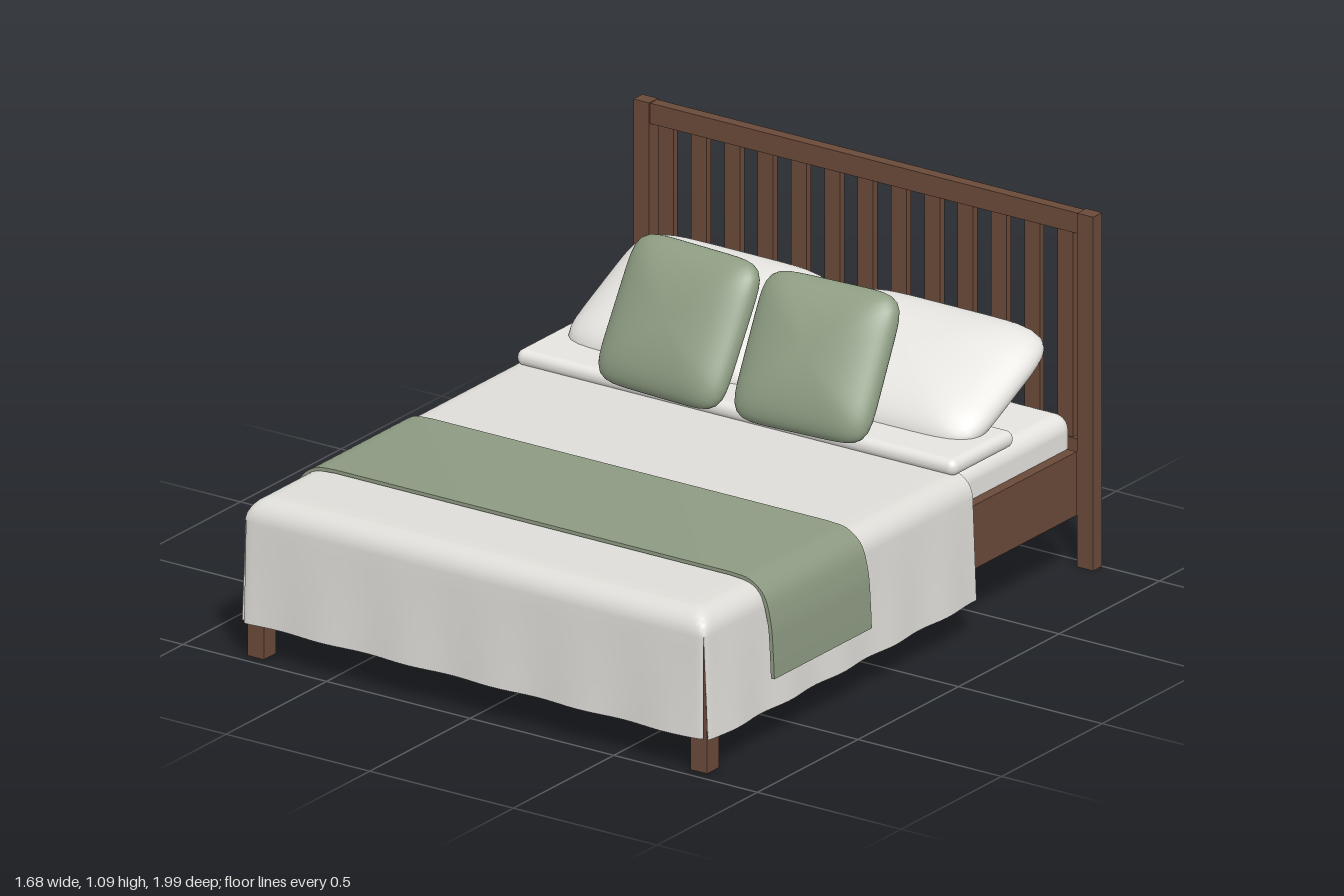
import * as THREE from 'three';
import { mergeVertices, toCreasedNormals } from 'three/addons/utils/BufferGeometryUtils.js';
import { RoundedBoxGeometry } from 'three/addons/geometries/RoundedBoxGeometry.js';

const material = (name, color, side = THREE.FrontSide) => {
  const m = new THREE.MeshStandardMaterial({ color, side });
  m.name = name;
  return m;
};

// Puffy cushion: rounded-square outline in x/y, lens thickness in z
function cushionGeometry(w, h, t, p) {
  const g = new THREE.SphereGeometry(1, 72, 28);
  g.rotateX(Math.PI / 2);
  g.deleteAttribute('uv');
  g.deleteAttribute('normal');
  const pos = g.attributes.position;
  for (let i = 0; i < pos.count; i++) {
    const x = pos.getX(i), y = pos.getY(i), z = pos.getZ(i);
    const r = Math.hypot(x, y);
    if (r < 1e-5) { pos.setXYZ(i, 0, 0, Math.sign(z) * t / 2); continue; }
    const c = x / r, s = y / r;
    const k = Math.pow(r, 0.85) / Math.pow(Math.abs(c) ** p + Math.abs(s) ** p, 1 / p);
    pos.setXYZ(i, c * k * w / 2, s * k * h / 2, z * t / 2);
  }
  const merged = mergeVertices(g, 1e-4);
  merged.computeVertexNormals();
  return merged;
}

// Bedspread draped over the sides and foot, split at the two foot corners
function bedspreadGeometry() {
  const top = 0.49, r = 0.07, halfX = 0.805, front = 0.985, back = -0.35;
  const arc = r * Math.PI / 2, hang = 0.31;
  const over = [];
  for (let i = 1; i <= 7; i++) over.push(arc * i / 7);
  for (let i = 1; i <= 7; i++) over.push(arc + hang * i / 7);
  const line = (a, b, n) => Array.from({ length: n + 1 }, (_, i) => a + (b - a) * i / n);
  const ax = halfX - r, az = front - r;
  const us = [...over.map(s => -ax - s).reverse(), ...line(-ax, ax, 40), ...over.map(s => ax + s)];
  const vs = [...line(back, az, 40), ...over.map(s => az + s)];
  // distance past the flat top -> outward offset, drop and hanging length
  const bend = s => {
    if (s <= 0) return [0, 0, 0];
    if (s <= arc) return [r * Math.sin(s / r), r * (1 - Math.cos(s / r)), 0];
    return [r, r + s - arc, (s - arc) / hang];
  };
  const pts = [], idx = [];
  for (const v of vs) for (const u of us) {
    const su = Math.abs(u) - ax, sv = v - az, sign = Math.sign(u);
    const [ou, du, hu] = bend(su), [ov, dv, hv] = bend(sv);
    const pull = 0.013 * (Math.min(du / r, 1) * Math.min(dv / r, 1)) ** 2;
    const x = Math.min(Math.abs(u), ax) + ou + hu * (0.017 + 0.005 * Math.sin(v * 24)) - pull;
    const z = Math.min(v, az) + ov + hv * (0.005 + 0.005 * Math.sin(u * 21)) - pull;
    const limit = hu || hv ? Infinity : r;
    const drop = hu || hv ? Math.max(du, dv) : Math.min(Math.hypot(du, dv), limit);
    pts.push(sign * x, top - drop, z);
  }
  const n = us.length;
  for (let j = 0; j < vs.length - 1; j++) for (let i = 0; i < n - 1; i++) {
    const su = Math.max(Math.abs(us[i]), Math.abs(us[i + 1])) - ax, sv = vs[j + 1] - az;
    if (su > arc + 1e-4 && sv > arc + 1e-4) continue;
    const a = j * n + i, b = a + 1, c = a + n, d = c + 1;
    idx.push(a, c, b, b, c, d);
  }
  const g = new THREE.BufferGeometry();
  g.setAttribute('position', new THREE.Float32BufferAttribute(pts, 3));
  g.setIndex(idx);
  g.computeVertexNormals();
  return g;
}

// Thin folded band lying across the bed and hanging on both sides
function runnerGeometry(z0, z1) {
  const smooth = list => new THREE.CatmullRomCurve3(list.map(([x, y]) => new THREE.Vector3(x, y, 0)), false, 'centripetal')
    .getPoints(30).map(p => new THREE.Vector2(p.x, p.y));
  const outer = smooth([[0.69, 0.506], [0.755, 0.498], [0.805, 0.46], [0.83, 0.38], [0.838, 0.29], [0.842, 0.21]]);
  const inner = smooth([[0.83, 0.21], [0.826, 0.29], [0.818, 0.378], [0.795, 0.452], [0.75, 0.487], [0.69, 0.495]]);
  const flip = list => list.map(p => new THREE.Vector2(-p.x, p.y)).reverse();
  const shape = new THREE.Shape([...outer, ...inner, ...flip(inner), ...flip(outer)]);
  const g = new THREE.ExtrudeGeometry(shape, { depth: z1 - z0, bevelEnabled: false });
  g.translate(0, 0, z0);
  return toCreasedNormals(g, 0.6);
}

export function createModel() {
  const bed = new THREE.Group();
  bed.name = 'bed';
  const wood = material('brown wood', 0x6a4a3a);
  const darkWood = material('dark base wood', 0x3f2d25);
  const linen = material('white linen', 0xe6e4e0);
  const spread = material('off-white bedspread', 0xdfddd8, THREE.DoubleSide);
  const sage = material('sage cushion', 0x8e9d83);
  const sageCloth = material('sage runner', 0x8d9a82);

  const add = (name, geometry, mat, x = 0, y = 0, z = 0) => {
    const mesh = new THREE.Mesh(geometry, mat);
    mesh.name = name;
    mesh.position.set(x, y, z);
    bed.add(mesh);
    return mesh;
  };
  // Box given by its min and max along each axis
  const box = (name, mat, x0, x1, y0, y1, z0, z1) =>
    add(name, new THREE.BoxGeometry(x1 - x0, y1 - y0, z1 - z0), mat, (x0 + x1) / 2, (y0 + y1) / 2, (z0 + z1) / 2);

  // Headboard rails and slats
  box('headboardTopRail', wood, -0.745, 0.745, 1.02, 1.083, -0.995, -0.96);
  box('headboardBottomRail', wood, -0.745, 0.745, 0.32, 0.39, -0.995, -0.96);
  for (let i = -6; i <= 6; i++) {
    const x = i * 0.116;
    box('headboardSlat', wood, x - 0.027, x + 0.027, 0.39, 1.02, -0.988, -0.966);
  }

  // Posts, legs, side rails and pillows, mirrored
  const pillow = cushionGeometry(0.7, 0.5, 0.19, 6);
  const cushion = cushionGeometry(0.455, 0.45, 0.15, 7);
  for (const s of [-1, 1]) {
    const side = s > 0 ? 'left' : 'right';
    const pair = (name, a, b, ...rest) => box(side + name, wood, Math.min(s * a, s * b), Math.max(s * a, s * b), ...rest);
    pair('HeadboardPost', 0.745, 0.8, 0, 1.085, -1, -0.955);
    pair('FrontLeg', 0.743, 0.8, 0, 0.4, 0.905, 0.965);
    pair('SideRail', 0.742, 0.775, 0.18, 0.375, -0.91, 0.91);

    const p = add(side + 'Pillow', pillow, linen, s * 0.368, 0.612, -0.672);
    p.rotation.x = -1.13;
    const c = add(side + 'Cushion', cushion, sage, s * 0.24, 0.715, -0.382);
    c.rotation.order = 'YXZ';
    c.rotation.set(-0.5, s * 0.06, 0);
  }
  box('footRail', wood, -0.745, 0.745, 0.18, 0.375, 0.918, 0.95);
  box('basePlatform', darkWood, -0.742, 0.742, 0.225, 0.26, -0.91, 0.918);

  // Bedding
  add('mattress', new RoundedBoxGeometry(1.48, 0.215, 1.86, 5, 0.05), linen, 0, 0.3675, -0.02);
  add('bedspread', bedspreadGeometry(), spread);
  add('foldedSheet', new RoundedBoxGeometry(1.53, 0.052, 0.31, 5, 0.025), linen, 0, 0.507, -0.467);
  add('runner', runnerGeometry(0.205, 0.69), sageCloth);
  return bed;
}
